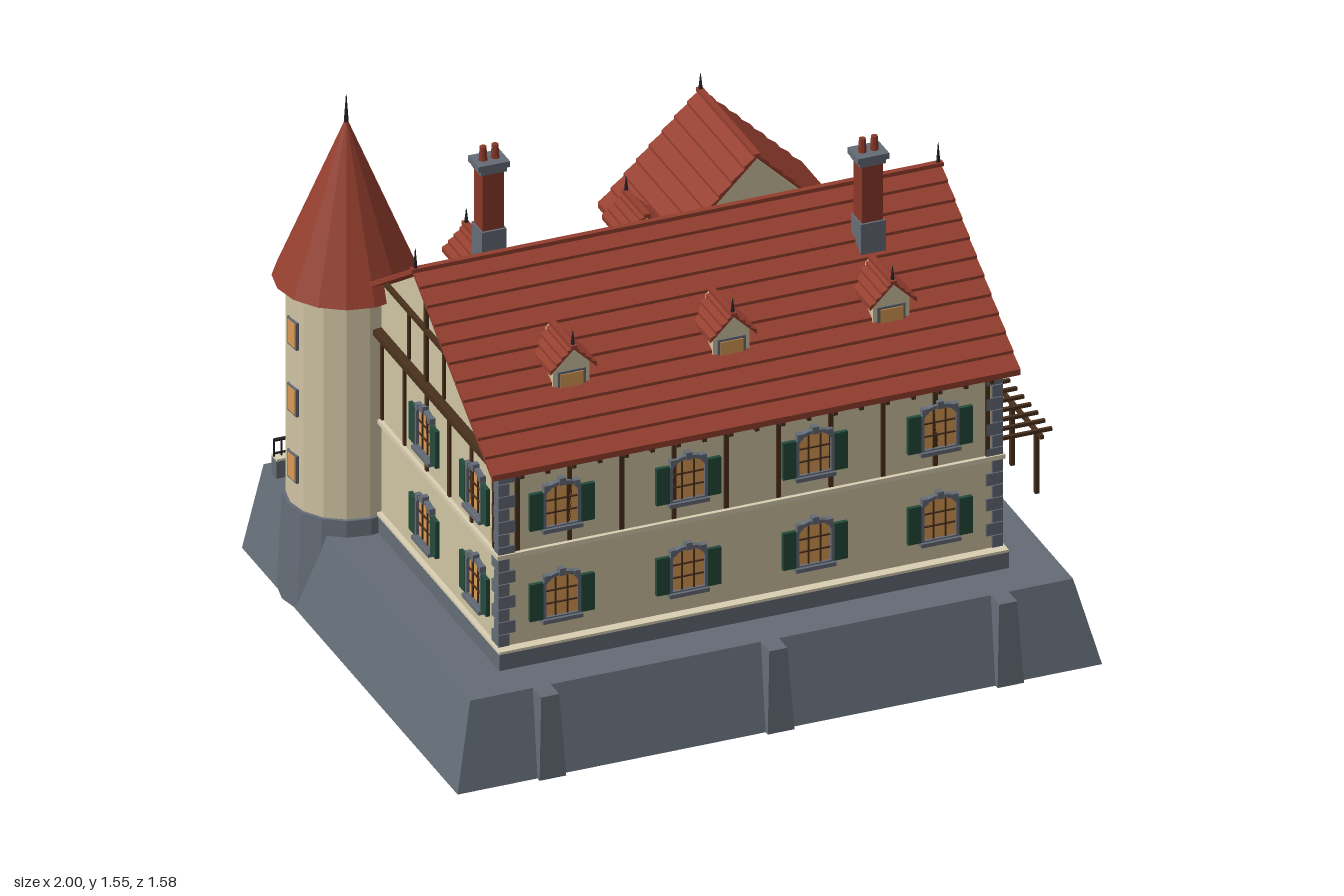
import * as THREE from 'three';

const mat = (name, color) => Object.assign(new THREE.MeshStandardMaterial({ color }), { name });
const M = {
  wall: mat('cream plaster', 0xd0c4a3), trim: mat('pale trim', 0xd9cfb2), stone: mat('grey stone', 0x646c76),
  roof: mat('red tile', 0x943e2e), brick: mat('brick', 0x8a3828), timber: mat('dark timber', 0x4a301d),
  shutter: mat('green shutter', 0x234a3a), glass: mat('amber glass', 0xd99a55), iron: mat('black iron', 0x222226),
};

function add(parent, name, geo, material, x = 0, y = 0, z = 0) {
  const m = new THREE.Mesh(geo, material);
  m.name = name;
  m.position.set(x, y, z);
  parent.add(m);
  return m;
}
const box = (p, name, m, x, y, z, w, h, d) => add(p, name, new THREE.BoxGeometry(w, h, d), m, x, y, z);
// Box given by its limits
const span = (p, name, m, x0, x1, y0, y1, z0, z1) =>
  box(p, name, m, (x0 + x1) / 2, (y0 + y1) / 2, (z0 + z1) / 2, x1 - x0, y1 - y0, z1 - z0);
function flat(geo) {
  const g = geo.toNonIndexed();
  g.computeVertexNormals();
  return g;
}
const cyl = (p, name, m, x, y0, y1, z, r0, r1, n = 8) =>
  add(p, name, flat(new THREE.CylinderGeometry(r1, r0, y1 - y0, n)), m, x, (y0 + y1) / 2, z);
function group(parent, name, x = 0, y = 0, z = 0, turn = 0) {
  const g = new THREE.Group();
  g.name = name;
  g.position.set(x, y, z);
  g.rotation.y = turn;
  parent.add(g);
  return g;
}
// Sloped block between a bottom and a top rectangle [x0, x1, z0, z1]
function loft(p, name, m, a, b, y0, y1) {
  const g = new THREE.BoxGeometry(1, 1, 1), v = g.attributes.position;
  for (let i = 0; i < v.count; i++) {
    const r = v.getY(i) > 0 ? b : a;
    v.setXYZ(i, r[v.getX(i) > 0 ? 1 : 0], v.getY(i) > 0 ? y1 : y0, r[v.getZ(i) > 0 ? 3 : 2]);
  }
  g.computeVertexNormals();
  return add(p, name, g, m);
}
function extrude(points, depth) {
  const s = Array.isArray(points) ? new THREE.Shape(points.map(q => new THREE.Vector2(...q))) : points;
  return new THREE.ExtrudeGeometry(s, { depth, bevelEnabled: false, curveSegments: 8 }).translate(0, 0, -depth / 2);
}
// Thin gabled roof with stepped tile courses, ridge along local z
function tiledRoof(p, half, eave, ridge, length, rows, t = 0.009) {
  const right = [], lip = 0.009;
  for (let i = 0; i < rows; i++) {
    const k = (i + 1) / rows, y = ridge + (eave - ridge) * k;
    right.push([half * k, y + lip], [half * k, y]);
  }
  const left = right.map(([x, y]) => [-x, y]).reverse();
  const pts = [[0, ridge], ...right, [half, eave - t], [0, ridge - t], [-half, eave - t], ...left];
  add(p, 'roofTiles', extrude(pts.reverse(), length), M.roof);
  box(p, 'ridgeCap', M.roof, 0, ridge + 0.002, 0, 0.018, 0.012, length + 0.01);
}
const finial = (p, x, y, z, h) => cyl(p, 'finial', M.iron, x, y, y + h, z, 0.007, 0.001, 6);

// Arched outline
function arch(w, bottom, spring, top) {
  const s = new THREE.Shape();
  s.moveTo(-w, bottom); s.lineTo(w, bottom); s.lineTo(w, spring);
  s.quadraticCurveTo(w * 0.8, top, 0, top);
  s.quadraticCurveTo(-w * 0.8, top, -w, spring);
  s.closePath();
  return s;
}
function windowUnit(p, x, y, z, turn = 0) {
  const g = group(p, 'window', x, y, z, turn);
  const frame = arch(0.057, -0.065, 0.045, 0.076);
  frame.holes.push(arch(0.048, -0.06, 0.04, 0.066));
  add(g, 'stoneSurround', extrude(frame, 0.016), M.stone, 0, 0, 0.008);
  add(g, 'pane', extrude(arch(0.049, -0.062, 0.04, 0.067), 0.006), M.glass, 0, 0, 0.004);
  for (const s of [-1, 1]) {
    box(g, 'mullion', M.timber, s * 0.018, 0, 0.009, 0.004, 0.12, 0.005);
    box(g, 'glazingBar', M.timber, 0, s * 0.02, 0.009, 0.096, 0.004, 0.005);
    box(g, 'shutter', M.shutter, s * 0.077, -0.005, 0.012, 0.04, 0.116, 0.012);
    box(g, 'archStone', M.stone, s * 0.045, 0.062, 0.009, 0.018, 0.018, 0.018);
  }
  box(g, 'keystone', M.stone, 0, 0.076, 0.01, 0.018, 0.022, 0.02);
  box(g, 'sill', M.stone, 0, -0.07, 0.012, 0.12, 0.012, 0.026);
}
function railing(p, x0, x1, y, z, h = 0.055) {
  const g = group(p, 'railing'), n = Math.round((x1 - x0) / 0.022);
  span(g, 'handrail', M.iron, x0, x1, y + h - 0.006, y + h, z - 0.005, z + 0.005);
  span(g, 'bottomRail', M.iron, x0, x1, y + 0.008, y + 0.012, z - 0.003, z + 0.003);
  for (let i = 0; i <= n; i++)
    box(g, 'baluster', M.iron, x0 + (x1 - x0) * i / n, y + h / 2, z, 0.004, h, 0.004);
}
// Exposed posts and eave brackets of an upper storey
function timberPosts(p, from, to, n, brackets) {
  for (let i = 0; i < n; i++)
    box(p, 'timberPost', M.timber, from + (to - from) * i / (n - 1), 0.733, 0.003, 0.013, 0.256, 0.008);
  for (let i = 0; i < brackets; i++)
    box(p, 'eaveBracket', M.timber, from + (to - from) * i / (brackets - 1), 0.862, 0.02, 0.012, 0.028, 0.04);
}
function gableTimber(p, w, y0, y1, tie, tieW, studs) {
  box(p, 'gableBeam', M.timber, 0, y0, 0.012, w, 0.018, 0.03);
  box(p, 'tieBeam', M.timber, 0, tie, 0.005, tieW, 0.014, 0.014);
  box(p, 'kingPost', M.timber, 0, (y0 + y1) / 2, 0.004, 0.015, y1 - y0, 0.012);
  for (const s of [-1, 1])
    box(p, 'stud', M.timber, s * studs, (y0 + tie) / 2, 0.003, 0.011, tie - y0 - 0.03, 0.01);
}
function dormer(p, x, z, turn) {
  const g = group(p, 'dormer', x, 0, z, turn);
  add(g, 'dormerBody', extrude([[-0.055, 0.98], [0.055, 0.98], [0.055, 1.07], [0, 1.118], [-0.055, 1.07]], 0.16), M.wall, 0, 0, -0.09);
  span(g, 'dormerFrame', M.stone, -0.042, 0.042, 0.995, 1.052, -0.012, -0.006);
  span(g, 'dormerGlass', M.glass, -0.034, 0.034, 1.003, 1.045, -0.01, -0.003);
  tiledRoof(group(g, 'dormerRoof', 0, 0, -0.07), 0.07, 1.062, 1.13, 0.155, 4, 0.006);
  finial(g, 0, 1.13, 0, 0.05);
}
function chimney(p, x, z, top) {
  const g = group(p, 'chimney', x, 0, z);
  span(g, 'chimneyBase', M.stone, -0.037, 0.037, 1.05, top - 0.21, -0.037, 0.037);
  span(g, 'chimneyStack', M.brick, -0.032, 0.032, top - 0.21, top - 0.02, -0.03, 0.03);
  span(g, 'chimneyCap', M.stone, -0.047, 0.047, top - 0.018, top, -0.038, 0.038);
  span(g, 'capMoulding', M.stone, -0.039, 0.039, top - 0.032, top - 0.018, -0.034, 0.034);
  for (const s of [-1, 1]) cyl(g, 'chimneyPot', M.brick, s * 0.018, top, top + 0.042, 0, 0.013, 0.01);
}

export function createModel() {
  const model = new THREE.Group();
  model.name = 'house';
  const Q = Math.PI / 2, ZC = 0.04, XC = -0.005;

  // Sloped stone terrace with buttresses
  const base = group(model, 'terrace');
  loft(base, 'terraceBlock', M.stone, [-0.975, 0.96, -0.765, 0.775], [-0.91, 0.9, -0.765, 0.71], 0, 0.25);
  for (const x of [-0.695, -0.01, 0.68]) {
    loft(base, 'frontButtress', M.stone, [x - 0.04, x + 0.04, 0.6, 0.79], [x - 0.027, x + 0.027, 0.6, 0.77], 0, 0.25);
    if (Math.abs(x) > 0.1)
      loft(base, 'backButtress', M.stone, [x - 0.04, x + 0.04, -0.785, -0.7], [x - 0.027, x + 0.027, -0.772, -0.7], 0, 0.25);
  }
  span(base, 'plinth', M.stone, -0.77, 0.76, 0.25, 0.3, -0.5, 0.585);
  span(base, 'plinthLedge', M.trim, -0.77, 0.76, 0.3, 0.308, -0.495, 0.585);
  span(base, 'backPlinth', M.stone, -0.64, 0.67, 0.25, 0.305, -0.665, -0.45);

  // Back parapet, lantern piers and steps
  for (const [a, b] of [[-0.91, -0.14], [0.14, 0.9]]) {
    span(base, 'parapet', M.stone, a, b, 0.25, 0.305, -0.707, -0.673);
    span(base, 'coping', M.trim, a, b, 0.305, 0.312, -0.71, -0.67);
    railing(base, a, b, 0.312, -0.69);
  }
  for (const s of [-1, 1]) {
    span(base, 'stairCheek', M.stone, s * 0.14 - 0.02, s * 0.14 + 0.02, 0.2, 0.33, -0.79, -0.7);
    box(base, 'lanternPier', M.stone, s * 0.165, 0.33, -0.685, 0.044, 0.16, 0.04);
    box(base, 'pierCap', M.trim, s * 0.165, 0.415, -0.685, 0.056, 0.012, 0.05);
    cyl(base, 'lantern', M.glass, s * 0.165, 0.42, 0.445, -0.685, 0.01, 0.014, 6);
    cyl(base, 'lanternCap', M.iron, s * 0.165, 0.445, 0.472, -0.685, 0.019, 0.002, 6);
  }
  for (let i = 0; i < 4; i++)
    span(base, 'step', M.stone, -0.12, 0.12, 0.2, 0.255 + i * 0.016, -0.78 + i * 0.025, -0.66);

  // Main house
  const house = group(model, 'mainHouse', XC, 0, ZC);
  const body = [[-0.515, 0.3], [0.515, 0.3], [0.515, 0.894], [0, 1.232], [-0.515, 0.894]];
  add(house, 'walls', extrude(body, 1.5).rotateY(Q), M.wall);
  box(house, 'stringCourse', M.trim, 0, 0.594, 0, 1.524, 0.014, 1.054);
  const roof = group(house, 'mainRoof', -0.003, 0, 0, Q);
  tiledRoof(roof, 0.57, 0.876, 1.245, 1.586, 11);
  for (const s of [-1, 1]) {
    finial(roof, 0, 1.245, s * 0.785, 0.068);
    span(house, 'eaveBoard', M.timber, -0.79, 0.786, 0.864, 0.872, s * 0.555 - 0.01, s * 0.555 + 0.01);
  }
  // Alternating corner stones
  for (const sx of [-1, 1]) for (const sz of [-1, 1]) for (let i = 0; i < 14; i++) {
    const long = i % 2 ? 0.05 : 0.032, deep = i % 2 ? 0.032 : 0.05;
    box(house, 'cornerStone', M.stone, sx * (0.757 - long / 2), 0.329 + i * 0.0395, sz * (0.522 - deep / 2), long, 0.037, deep);
  }
  // Facades: front, back, right side, left side
  const front = group(house, 'frontFacade', 0, 0, 0.515);
  timberPosts(front, -0.7, 0.712, 10, 19);
  const back = group(house, 'backFacade', 0, 0, -0.515, Math.PI);
  timberPosts(back, -0.7, 0.712, 10, 19);
  const sideA = group(house, 'sideFacade', 0.75, 0, 0, Q);
  const sideB = group(house, 'sideFacade', -0.75, 0, 0, -Q);
  for (const s of [sideA, sideB]) {
    timberPosts(s, -0.48, 0.48, 7, 0);
    gableTimber(s, 1.12, 0.88, 1.232, 1.05, 0.57, 0.125);
  }
  for (const y of [0.44, 0.725]) {
    for (const x of [-0.57, -0.19, 0.19, 0.565]) windowUnit(front, x, y, 0);
    for (const x of [-0.36, 0, 0.36]) {
      windowUnit(sideA, x, y, 0);
      if (x > -0.3) windowUnit(sideB, x, y, 0);
    }
    windowUnit(back, 0.43, y, 0);
    if (y > 0.6) windowUnit(back, 0.1, y, 0);
  }
  add(back, 'doorSurround', extrude(arch(0.07, 0.3, 0.47, 0.53), 0.016), M.stone, 0.06, 0, 0);
  add(back, 'door', extrude(arch(0.055, 0.3, 0.46, 0.51), 0.008), M.timber, 0.06, 0, 0.008);
  for (const x of [-0.48, 0, 0.48]) {
    dormer(model, x, 0.42, 0);
    if (x < 0.1) dormer(model, x, -0.34, Math.PI);
  }
  chimney(model, 0.5, 0.2, 1.43);
  chimney(model, -0.5, -0.13, 1.45);

  // Gabled back wing
  const wing = group(model, 'backWing', 0.38, 0, -0.645, Math.PI);
  add(wing, 'wingWalls', extrude([[-0.27, 0.3], [0.27, 0.3], [0.27, 0.9], [0, 1.166], [-0.27, 0.9]], 0.32), M.wall, 0, 0, -0.16);
  box(wing, 'wingStringCourse', M.trim, 0, 0.594, -0.1, 0.556, 0.014, 0.22);
  box(wing, 'wingLedge', M.trim, 0, 0.306, -0.1, 0.56, 0.008, 0.22);
  tiledRoof(group(wing, 'wingRoof', 0, 0, -0.13), 0.305, 0.882, 1.18, 0.41, 8);
  finial(wing, 0, 1.18, 0.068, 0.055);
  gableTimber(wing, 0.58, 0.885, 1.165, 1.02, 0.28, 0.1);
  for (const y of [0.44, 0.725]) for (const x of [-0.145, 0.145]) windowUnit(wing, x, y, 0);

  // Balcony on columns
  const porch = group(model, 'balcony');
  span(porch, 'balconySlab', M.trim, -0.64, 0.11, 0.585, 0.61, -0.668, -0.47);
  span(porch, 'balconyBeam', M.wall, -0.62, 0.1, 0.56, 0.585, -0.655, -0.62);
  railing(porch, -0.63, 0.11, 0.61, -0.657, 0.065);
  for (const x of [-0.55, -0.35, -0.15, 0.05]) {
    box(porch, 'columnFoot', M.stone, x, 0.32, -0.638, 0.04, 0.03, 0.04);
    cyl(porch, 'column', M.trim, x, 0.33, 0.55, -0.638, 0.015, 0.012, 10);
    box(porch, 'columnCapital', M.stone, x, 0.553, -0.638, 0.038, 0.018, 0.038);
  }

  // Round corner tower
  const tower = group(model, 'tower', -0.793, 0, -0.453);
  cyl(tower, 'towerBase', M.stone, 0, 0, 0.3, 0, 0.193, 0.178, 16);
  cyl(tower, 'towerWall', M.wall, 0, 0.3, 0.99, 0, 0.168, 0.168, 16);
  cyl(tower, 'towerRoof', M.roof, 0, 0.982, 1.475, 0, 0.207, 0.002, 16);
  finial(tower, 0, 1.465, 0, 0.085);
  for (const deg of [-12, 28, 95]) for (const y of [0.42, 0.63, 0.84]) {
    const w = group(tower, 'towerWindow', 0, y, 0, Math.PI + deg * Math.PI / 180);
    box(w, 'towerWindowFrame', M.stone, 0, 0, 0.166, 0.054, 0.086, 0.01);
    box(w, 'towerWindowGlass', M.glass, 0, 0, 0.169, 0.042, 0.074, 0.008);
  }

  // Pergola on the side
  const pergola = group(model, 'pergola');
  for (const x of [0.797, 0.963]) {
    box(pergola, 'pergolaBeam', M.timber, x, 0.495, 0.125, 0.011, 0.012, 0.43);
    for (const z of [0.3, 0.125, -0.05]) span(pergola, 'pergolaPost', M.timber, x - 0.006, x + 0.006, 0.3, 0.5, z - 0.006, z + 0.006);
  }
  for (let i = 0; i < 9; i++)
    box(pergola, 'pergolaSlat', M.timber, 0.885, 0.506, -0.08 + i * 0.05, 0.23, 0.01, 0.01);
  return model;
}
